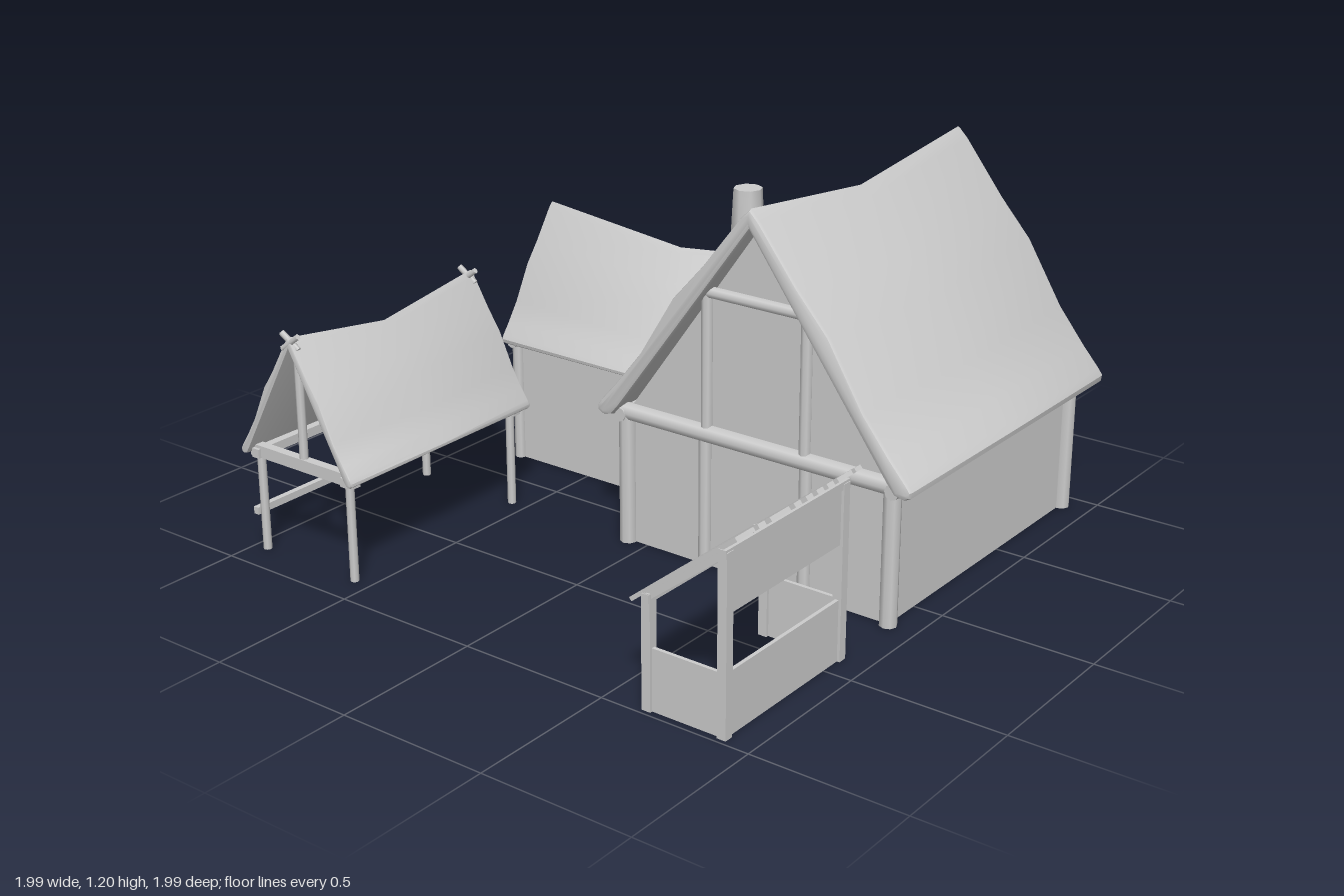
import * as THREE from 'three';
import { toCreasedNormals } from 'three/addons/utils/BufferGeometryUtils.js';

const mat = new THREE.MeshStandardMaterial({ color: 0xcccccc });
const thin = new THREE.MeshStandardMaterial({ color: 0xcccccc, side: THREE.DoubleSide });
const V = (x, y, z) => new THREE.Vector3(x, y, z);

function add(parent, name, geometry, material = mat) {
  const mesh = new THREE.Mesh(geometry, material);
  mesh.name = name;
  parent.add(mesh);
  return mesh;
}

// Round timber between two points
function pole(parent, name, a, b, r, sides = 8) {
  const mesh = add(parent, name, new THREE.CylinderGeometry(r, r, a.distanceTo(b), sides));
  mesh.position.copy(a).lerp(b, 0.5);
  mesh.quaternion.setFromUnitVectors(V(0, 1, 0), b.clone().sub(a).normalize());
  return mesh;
}

function box(parent, name, w, h, d, x, y, z) {
  const mesh = add(parent, name, new THREE.BoxGeometry(w, h, d));
  mesh.position.set(x, y, z);
  return mesh;
}

// Half thatch section, apex to eave and back inside: [fraction of half width, fraction of height]
const SECTION = [
  [0, 1], [0.06, 0.955], [0.3, 0.725], [0.49, 0.565], [0.71, 0.295], [0.87, 0.145],
  [0.97, 0.06], [1, 0.03], [0.995, 0.005], [0.96, -0.01], [0.9, 0], [0.85, 0.045], [0, 0.915],
];

// Thatched roof running from z0 to z1, its ridge sagging in the middle
function thatch(parent, halfW, base, height, z0, z1, sag, bevel) {
  const right = SECTION.map(([u, v]) => new THREE.Vector2(u * halfW, v * height));
  const left = right.slice(1, -1).reverse().map(p => new THREE.Vector2(-p.x, p.y));
  const length = z1 - z0;
  const geo = new THREE.ExtrudeGeometry(new THREE.Shape([...right, ...left]), {
    depth: length - 2 * bevel, steps: 2, bevelEnabled: true,
    bevelSize: bevel, bevelThickness: bevel, bevelOffset: -bevel, bevelSegments: 2,
  });
  geo.translate(0, 0, z0 + bevel);
  const p = geo.attributes.position;
  const mid = (z0 + z1) / 2;
  for (let i = 0; i < p.count; i++) {
    const middle = 1 - Math.abs(p.getZ(i) - mid) / (length / 2);
    p.setY(i, p.getY(i) * (1 - sag / height * middle) + base);
  }
  add(parent, 'thatchedRoof', toCreasedNormals(geo, 0.65));
}

// Four walls, the listed ends carrying gables
function walls(parent, halfW, z0, z1, top, apex, ends) {
  for (const s of [-1, 1]) {
    const wall = add(parent, 'sideWall', new THREE.PlaneGeometry(z1 - z0, top), thin);
    wall.rotation.y = Math.PI / 2;
    wall.position.set(s * halfW, top / 2, (z0 + z1) / 2);
  }
  const shape = new THREE.Shape([[-halfW, 0], [halfW, 0], [halfW, top], [0, apex], [-halfW, top]]
    .map(([x, y]) => new THREE.Vector2(x, y)));
  for (const z of ends) {
    add(parent, 'gableWall', new THREE.ShapeGeometry(shape), thin).position.z = z;
  }
}

function mainHouse() {
  const g = new THREE.Group();
  g.name = 'mainHouse';
  g.position.x = 0.415;
  thatch(g, 0.575, 0.44, 0.765, -1, 0.2, 0.065, 0.015);
  walls(g, 0.485, -0.925, 0.145, 0.45, 1.13, [-0.925, 0.145]);
  for (const z of [-0.925, 0.15]) {
    for (const x of [-0.488, 0.488]) pole(g, 'cornerPost', V(x, 0, z), V(x, 0.45, z), 0.028);
    pole(g, 'gableBeam', V(-0.525, 0.447, z), V(0.525, 0.447, z), 0.029);
  }
  for (const x of [-0.5, 0.5]) pole(g, 'eaveBeam', V(x, 0.44, -0.98), V(x, 0.44, 0.18), 0.024);
  // Front framing
  for (const x of [-0.18, 0.18]) {
    pole(g, 'gablePost', V(x, 0.45, 0.15), V(x, 0.9, 0.15), 0.019);
    pole(g, 'doorPost', V(x * 1.03, 0, 0.15), V(x * 1.03, 0.45, 0.15), 0.021);
  }
  pole(g, 'collarBeam', V(-0.2, 0.905, 0.15), V(0.2, 0.905, 0.15), 0.019);
  // Back framing
  pole(g, 'backGablePost', V(0, 0.45, -0.93), V(0, 1.12, -0.93), 0.027);
  return g;
}

// Side wing, built along z then turned so that its gable faces -x
function wing() {
  const g = new THREE.Group();
  g.name = 'wing';
  g.rotation.y = Math.PI / 2;
  g.position.z = -0.4;
  thatch(g, 0.278, 0.425, 0.438, -0.84, 0.28, 0.06, 0.008);
  walls(g, 0.235, -0.8, -0.07, 0.43, 0.82, [-0.8]);
  for (const x of [-0.235, 0.235]) {
    pole(g, 'cornerPost', V(x, 0, -0.8), V(x, 0.43, -0.8), 0.02);
    pole(g, 'innerPost', V(x, 0, -0.095), V(x, 0.43, -0.095), 0.018);
    pole(g, 'eaveBeam', V(x, 0.425, -0.83), V(x, 0.425, -0.07), 0.018);
  }
  pole(g, 'gableBeam', V(-0.265, 0.43, -0.805), V(0.265, 0.43, -0.805), 0.022);
  pole(g, 'gablePost', V(0, 0.43, -0.805), V(0, 0.82, -0.805), 0.018);
  return g;
}

// Open shelter on four posts
function shelter() {
  const g = new THREE.Group();
  g.name = 'shelter';
  g.position.x = -0.757;
  thatch(g, 0.24, 0.335, 0.43, 0.105, 0.93, 0.06, 0.006);
  for (const x of [-0.193, 0.193]) {
    for (const z of [0.155, 0.89]) pole(g, 'post', V(x, 0, z), V(x, 0.34, z), 0.014);
    box(g, 'sideBeam', 0.03, 0.03, 0.79, x, 0.335, 0.52);
  }
  for (const z of [0.155, 0.89]) {
    box(g, 'gableBeam', 0.45, 0.04, 0.03, 0, 0.34, z);
    pole(g, 'kingPost', V(0, 0.33, z), V(0, 0.73, z), 0.014);
  }
  // Crossed sticks on the ridge ends
  for (const z of [0.125, 0.917]) {
    for (const s of [-1, 1]) pole(g, 'ridgeStick', V(s * 0.035, 0.772, z), V(-s * 0.025, 0.725, z + s * 0.008), 0.01, 6);
  }
  box(g, 'rail', 0.02, 0.024, 0.78, -0.213, 0.132, 0.52);
  return g;
}

// Market stall with a sloping slat roof
function stall() {
  const g = new THREE.Group();
  g.name = 'stall';
  const slope = 0.67;
  for (const z of [0.415, 0.97]) {
    box(g, 'lowPost', 0.03, 0.36, 0.03, 0.645, 0.18, z);
    box(g, 'highPost', 0.03, 0.555, 0.03, 0.9, 0.2775, z);
    box(g, 'endPanel', 0.24, 0.195, 0.012, 0.77, 0.0975, z);
    const rafter = box(g, 'rafter', 0.34, 0.02, 0.02, 0.77, 0.445, z);
    rafter.rotation.z = slope;
  }
  box(g, 'lowerPanel', 0.012, 0.195, 0.54, 0.9, 0.0975, 0.692);
  box(g, 'upperPanel', 0.012, 0.185, 0.54, 0.9, 0.46, 0.692);
  box(g, 'lowBeam', 0.025, 0.025, 0.59, 0.645, 0.345, 0.692);
  box(g, 'highBeam', 0.025, 0.025, 0.59, 0.9, 0.55, 0.692);
  // Uneven slats, one of them broken
  const count = 16;
  for (let i = 0; i < count; i++) {
    const wobble = Math.sin(i * 12.9) * 0.5 + Math.sin(i * 4.7) * 0.5;
    const broken = i === 6;
    const length = broken ? 0.22 : 0.445 + wobble * 0.015;
    const shift = broken ? -0.1 : wobble * 0.01;
    const slat = box(g, 'roofSlat', length, 0.013, 0.031,
      0.767 + shift * Math.cos(slope), 0.464 + shift * Math.sin(slope), 0.403 + i * 0.0377);
    slat.rotation.set(0, broken ? -0.15 : wobble * 0.035, slope);
  }
  return g;
}

export function createModel() {
  const model = new THREE.Group();
  model.name = 'farmstead';
  model.add(mainHouse(), wing(), shelter(), stall());

  // Tapered eight-sided chimney
  const profile = [[0, 0], [0.085, 0], [0.081, 0.2], [0.057, 0.82], [0.05, 0.96], [0, 0.96]]
    .map(([r, y]) => new THREE.Vector2(r, y));
  const chimney = add(model, 'chimney', toCreasedNormals(new THREE.LatheGeometry(profile, 8), 0.9));
  chimney.position.set(-0.2, 0, -0.67);
  return model;
}
